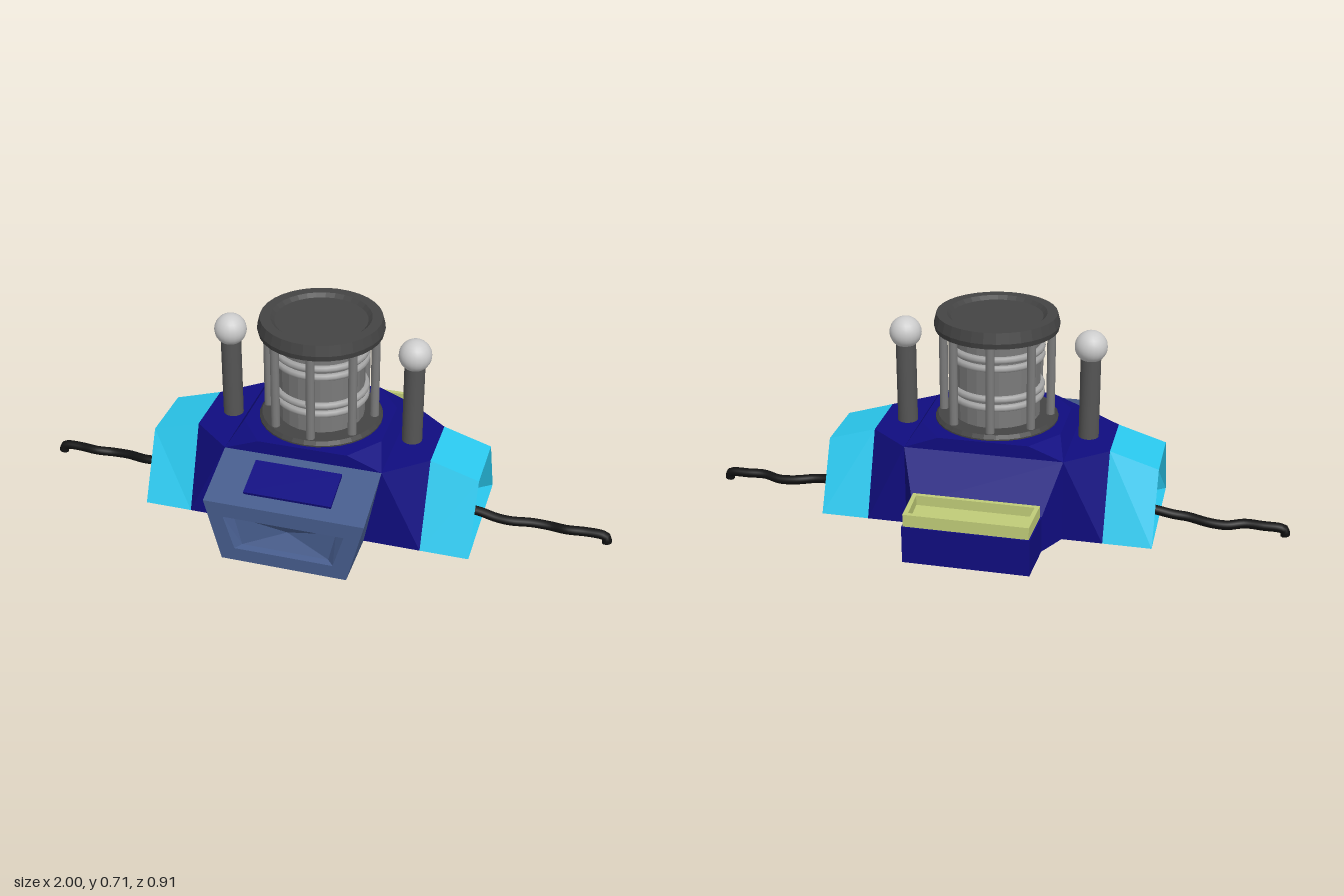
import * as THREE from 'three';
import { ConvexGeometry } from 'three/addons/geometries/ConvexGeometry.js';

const NAVY = 0x100d80, CYAN = 0x2ac8ee, SLATE = 0x465c8c, OLIVE = 0xc0cc78;
const V = (x, y, z) => new THREE.Vector3(x, y, z);
const BASE = 0.013, CZ = 0.018; // underside height, z of the tower axis

export function createModel() {
  const model = new THREE.Group();

  function add(name, geometry, color, pos = [0, 0, 0], flat = true) {
    const mat = new THREE.MeshStandardMaterial({ color, flatShading: flat });
    const mesh = new THREE.Mesh(geometry, mat);
    mesh.name = name;
    mesh.position.set(...pos);
    model.add(mesh);
    return mesh;
  }

  // Convex solid from half its corners, mirrored in x
  const hull = (pts) => new ConvexGeometry(
    pts.flatMap(([x, y, z]) => [V(x, y, z), V(-x, y, z)]));

  // Closed skin over a series of equal loops, its last loop closed to an apex
  function skin(loops, apex) {
    const tris = [], n = loops[0].length;
    for (let i = 0; i + 1 < loops.length; i++) {
      for (let j = 0; j < n; j++) {
        const k = (j + 1) % n, a = loops[i], b = loops[i + 1];
        tris.push([a[j], a[k], b[k]], [a[j], b[k], b[j]]);
      }
    }
    const first = loops[0], last = loops[loops.length - 1];
    for (let j = 1; j < n - 1; j++) tris.push([first[0], first[j + 1], first[j]]);
    for (let j = 0; j < n; j++) tris.push([last[j], last[(j + 1) % n], apex]);
    // Turn all faces outwards
    let volume = 0;
    for (const [a, b, c] of tris) volume += a.dot(b.clone().cross(c));
    if (volume < 0) tris.forEach((t) => t.reverse());
    const g = new THREE.BufferGeometry().setFromPoints(tris.flat());
    g.computeVertexNormals();
    return g;
  }

  // Main hull with wings that slope in towards the pods
  add('mainBody', hull([
    [0.265, BASE, 0.24], [0.265, 0.295, 0.24], [0.265, 0.295, -0.2], [0.265, BASE, -0.2],
    [0.4, BASE, 0.24], [0.4, 0.295, 0.127], [0.4, 0.295, -0.087], [0.4, BASE, -0.2],
  ]), NAVY);
  add('upperDeck', hull([
    [0.265, 0.295, 0.24], [0.265, 0.295, -0.2], [0.235, 0.34, 0.127], [0.235, 0.34, -0.087],
    [0.15, 0.34, 0.24], [0.15, 0.34, -0.2],
  ]), NAVY);

  // Rear: slope, low block and open tray
  add('rearSlope', hull([
    [0.265, BASE, -0.2], [0.265, 0.295, -0.2], [0.215, 0.14, -0.295], [0.215, BASE, -0.295],
  ]), NAVY);
  add('rearBlock', hull([
    [0.215, BASE, -0.295], [0.215, 0.14, -0.295], [0.207, 0.14, -0.455], [0.207, BASE, -0.455],
  ]), NAVY);
  const trapezoid = (Path, inset) => {
    const path = new Path();
    path.setFromPoints([[-0.21, 0.3], [0.21, 0.3], [0.203, 0.45], [-0.203, 0.45]].map(
      ([x, y]) => new THREE.Vector2(x - Math.sign(x) * inset, y + (y > 0.4 ? -inset : inset))));
    return path;
  };
  const wall = trapezoid(THREE.Shape, 0);
  wall.holes.push(trapezoid(THREE.Path, 0.015));
  const tray = (shape, depth) =>
    new THREE.ExtrudeGeometry(shape, { depth, bevelEnabled: false }).rotateX(-Math.PI / 2);
  add('trayRim', tray(wall, 0.042), OLIVE, [0, 0.14, 0]);
  add('trayFloor', tray(trapezoid(THREE.Shape, 0.01), 0.008), OLIVE, [0, 0.14, 0]);

  // Front console with a dished front face
  const section = (z, top, wTop, bottom, wBottom) => [
    V(-wBottom, bottom, z), V(wBottom, bottom, z), V(wTop, top, z), V(-wTop, top, z)];
  add('frontConsole', skin([
    section(0.24, 0.295, 0.265, BASE, 0.21),
    section(0.455, 0.23, 0.265, BASE, 0.21),
    section(0.455, 0.178, 0.2, 0.06, 0.165),
    section(0.435, 0.172, 0.17, 0.066, 0.145),
  ], V(0, 0.122, 0.405)), SLATE);
  const panel = add('consolePanel', new THREE.BoxGeometry(0.29, 0.012, 0.136), NAVY, [0, 0.268, 0.342]);
  panel.rotation.x = Math.atan2(0.065, 0.215);

  for (const s of [1, -1]) {
    const side = s > 0 ? 'left' : 'right';
    // Side pod with a recessed end
    const end = (x, top, zs) => [
      V(s * x, BASE, zs[0]), V(s * x, top, zs[1]), V(s * x, top, zs[2]), V(s * x, BASE, zs[3])];
    add(side + 'Pod', skin([
      end(0.4, 0.295, [0.24, 0.127, -0.087, -0.2]),
      end(0.562, 0.245, [0.24, 0.127, -0.087, -0.2]),
      end(0.5, 0.245, [0.197, 0.113, -0.072, -0.155]),
    ], V(s * 0.475, 0.04, 0.02)), CYAN);

    // Trailing cable, turned down at its tip
    const path = new THREE.CatmullRomCurve3([
      [0.47, 0.052, 0.018], [0.55, 0.045, 0.012], [0.61, 0.033, 0.015], [0.66, 0.029, 0.015],
      [0.73, 0.024, -0.002], [0.79, 0.022, -0.004], [0.85, 0.028, 0.01], [0.91, 0.029, 0.005],
      [0.965, 0.028, 0.005], [0.98, 0.022, 0.006], [0.984, 0.002, 0.008],
    ].map(([x, y, z]) => V(s * x, y, z)));
    add(side + 'Cable', new THREE.TubeGeometry(path, 48, 0.0165, 10), 0x111111, [0, 0, 0], false);
    add(side + 'CableTip', new THREE.CircleGeometry(0.0165, 10).rotateX(Math.PI / 2),
      0x111111, [s * 0.984, 0.002, 0.008]);

    // Ball-topped post
    add(side + 'Post', new THREE.CylinderGeometry(0.034, 0.034, 0.29, 20), 0x555555, [s * 0.313, 0.435, CZ], false);
    add(side + 'PostBall', new THREE.SphereGeometry(0.054, 20, 14), 0xc4c4c4, [s * 0.313, 0.615, CZ], false);
  }

  // Tower: core, rings, cage rods, base flange and dished cap
  const lathe = (pts) => new THREE.LatheGeometry(pts.map(([r, y]) => new THREE.Vector2(r, y)), 32);
  add('towerFlange', lathe([[0, 0.335], [0.207, 0.335], [0.207, 0.345], [0.198, 0.357], [0, 0.357]]),
    0x444444, [0, 0, CZ]);
  add('towerCore', new THREE.CylinderGeometry(0.145, 0.145, 0.32, 24), 0x7a7a7a, [0, 0.505, CZ]);
  for (const y of [0.43, 0.46, 0.567, 0.597]) {
    add('towerRing', new THREE.TorusGeometry(0.148, 0.0125, 8, 32).rotateX(Math.PI / 2),
      0xa4a4a4, [0, y, CZ], false);
  }
  for (let i = 0; i < 8; i++) {
    const a = (5 + 45 * i) * Math.PI / 180;
    add('cageRod', new THREE.CylinderGeometry(0.0145, 0.0145, 0.31, 10), 0x7c7c7c,
      [0.18 * Math.sin(a), 0.505, CZ + 0.18 * Math.cos(a)], false);
  }
  add('towerCap', lathe([
    [0, 0.657], [0.204, 0.657], [0.208, 0.675], [0.199, 0.71], [0.165, 0.71], [0.152, 0.698], [0, 0.698],
  ]), 0x444444, [0, 0, CZ]);

  return model;
}
